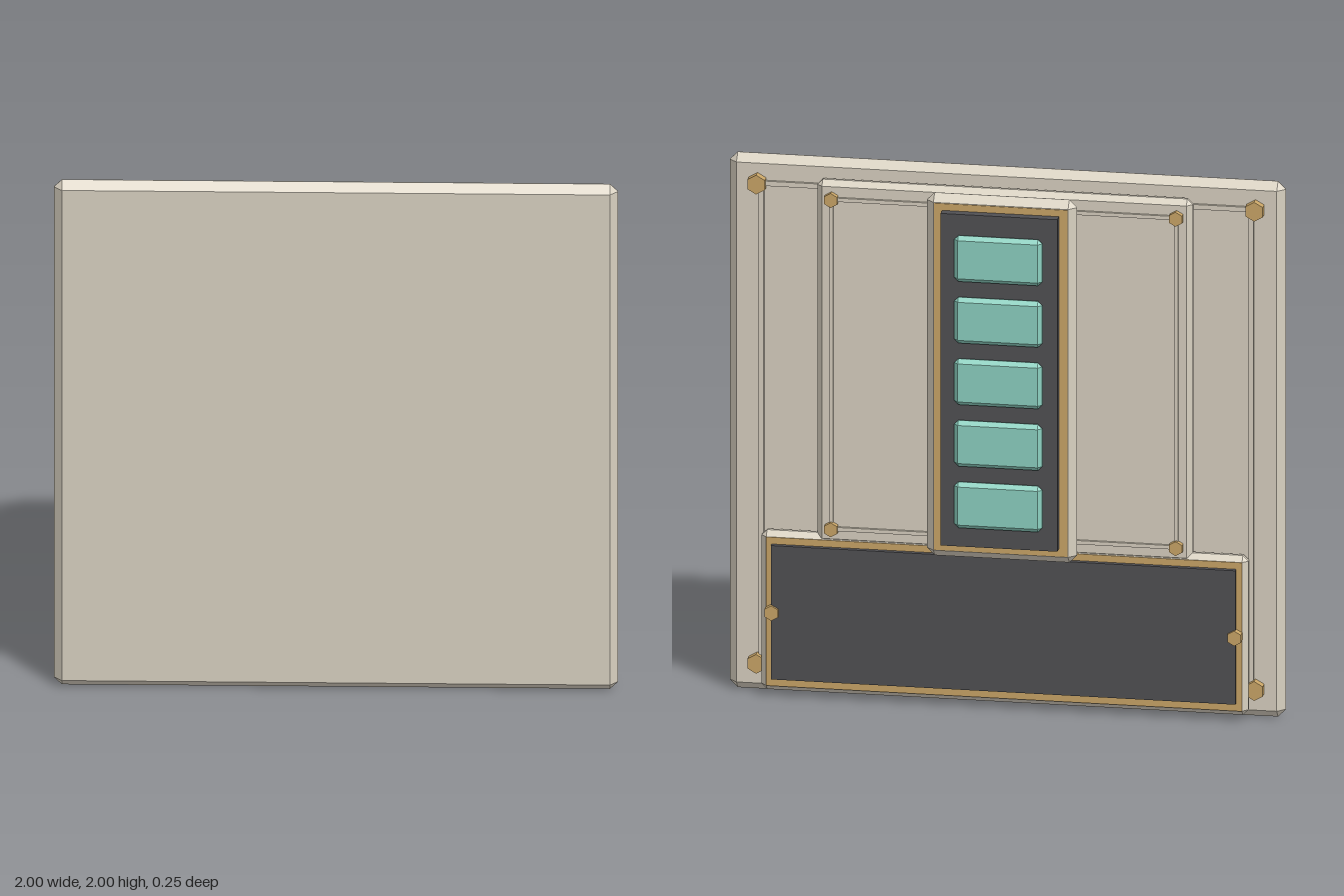
import * as THREE from 'three';
import { ConvexGeometry } from 'three/addons/geometries/ConvexGeometry.js';

const mat = (name, color) => Object.assign(new THREE.MeshStandardMaterial({ color, flatShading: true }), { name });

// Box with every edge and corner cut by c
function chamferBox(w, h, d, c) {
  const pts = [];
  for (const sx of [-1, 1]) for (const sy of [-1, 1]) for (const sz of [-1, 1]) {
    const [x, y, z] = [sx * w / 2, sy * h / 2, sz * d / 2];
    const [ix, iy, iz] = [x - sx * c, y - sy * c, z - sz * c];
    pts.push(new THREE.Vector3(x, iy, iz), new THREE.Vector3(ix, y, iz), new THREE.Vector3(ix, iy, z));
  }
  return new ConvexGeometry(pts);
}

export function createModel() {
  const model = new THREE.Group();
  model.name = 'wallPanel';
  const stone = mat('warm stone', 0xd8d0c0);
  const dark = mat('charcoal', 0x505053);
  const gold = mat('brass', 0xc9a567);
  const teal = mat('teal', 0x8cd0c0);

  // Slab spanning x0..x1, y0..y1, z0..z1, chamfered when c > 0
  function slab(name, material, x0, x1, y0, y1, z0, z1, c = 0) {
    const size = [x1 - x0, y1 - y0, z1 - z0];
    const geo = c ? chamferBox(...size, c) : new THREE.BoxGeometry(...size);
    const mesh = new THREE.Mesh(geo, material);
    mesh.name = name;
    mesh.position.set((x0 + x1) / 2, (y0 + y1) / 2, (z0 + z1) / 2);
    model.add(mesh);
  }

  // Hexagonal bolt with a corner pointing up
  function bolt(name, x, y, z0, z1, r) {
    const mesh = new THREE.Mesh(new THREE.CylinderGeometry(r, r, z1 - z0, 6).rotateX(Math.PI / 2), gold);
    mesh.name = name;
    mesh.position.set(x, y, (z0 + z1) / 2);
    model.add(mesh);
  }

  // Thin rectangular outline of strips joining the bolts
  function outline(name, x, y0, y1, z0, z1, t) {
    for (const s of [-1, 1]) slab(name, stone, s * x - t / 2, s * x + t / 2, y0, y1, z0, z1);
    for (const y of [y0, y1]) slab(name, stone, -x, x, y - t / 2, y + t / 2, z0, z1);
  }

  // Main slab and its corner bolts
  slab('mainSlab', stone, -1, 1, 0, 2, 0.065, 0.125, 0.029);
  outline('slabStrip', 0.88, 0.11, 1.9, 0.054, 0.066, 0.018);
  for (const s of [-1, 1]) for (const y of [0.11, 1.9]) bolt('cornerBolt', s * 0.895, y, 0.034, 0.067, 0.036);

  // Upper back panel
  slab('upperPanel', stone, -0.675, 0.675, 0.58, 1.935, 0.014, 0.066, 0.02);
  outline('panelStrip', 0.62, 0.64, 1.87, 0.004, 0.015, 0.014);
  for (const s of [-1, 1]) for (const y of [0.64, 1.87]) bolt('panelBolt', s * 0.62, y, -0.008, 0.016, 0.027);

  // Lower panel with brass border and dark plate
  slab('lowerPanel', stone, -0.875, 0.875, 0.02, 0.615, 0.013, 0.066, 0.02);
  slab('lowerBorder', gold, -0.855, 0.855, 0.04, 0.595, 0.01, 0.016);
  slab('lowerPlate', dark, -0.835, 0.835, 0.07, 0.57, -0.008, 0.014);
  for (const s of [-1, 1]) bolt('lowerBolt', s * 0.832, 0.32, -0.018, 0.014, 0.028);

  // Central column
  slab('columnBase', stone, -0.24, 0.24, 0.61, 1.9, -0.002, 0.018);
  slab('column', stone, -0.27, 0.27, 0.575, 1.93, -0.058, 0, 0.028);
  slab('columnBorder', gold, -0.24, 0.24, 0.605, 1.9, -0.061, -0.055);
  slab('columnPlate', dark, -0.21, 0.21, 0.635, 1.875, -0.096, -0.058);

  // Five keys up the column
  for (let i = 0; i < 5; i++) {
    const y = 0.795 + i * 0.23;
    slab('key', teal, -0.158, 0.158, y - 0.086, y + 0.086, -0.125, -0.092, 0.015);
  }
  return model;
}
